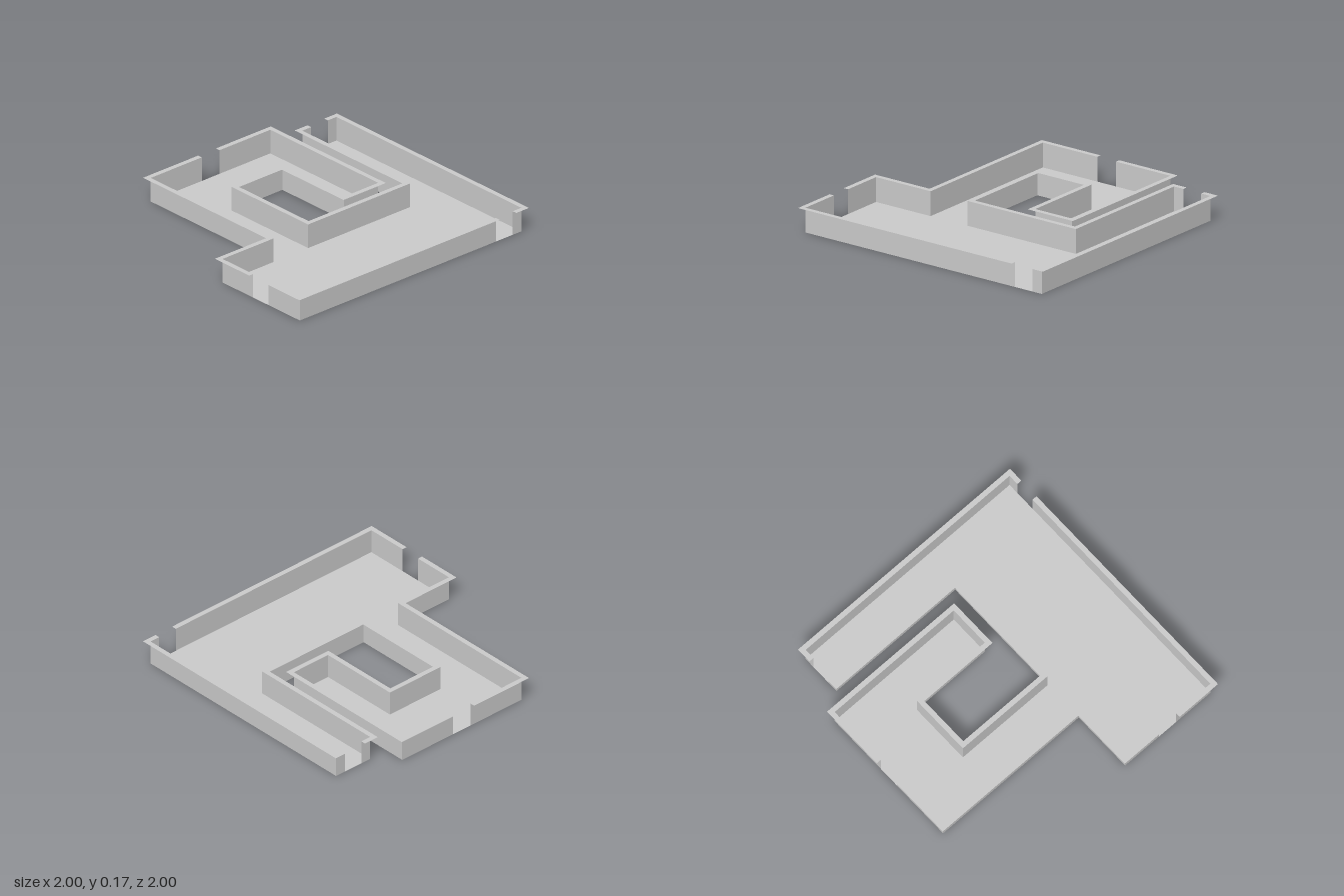
import * as THREE from 'three';

const HEIGHT = 0.17;
const LEDGE = 0.035;

// Floor outline (x, z), walked with the outside on the left of travel
const OUTLINE = [
  [-0.815, -0.965], [0.963, -0.965], [0.963, 0.963], [0.22, 0.963],
  [0.22, 0.518], [-0.963, 0.518], [-0.963, -0.523], [0.075, -0.523],
  [0.075, -0.225], [-0.518, -0.225], [-0.518, 0.218], [0.22, 0.218],
  [0.22, -0.668], [-0.815, -0.668],
].map(([x, z]) => new THREE.Vector2(x, z));

// Doorways: wall index -> the [from, to] gap along that wall's axis
const DOORS = {
  1: [-0.89, -0.745],
  2: [0.663, 0.515],
  5: [0.073, -0.08],
  13: [-0.745, -0.89],
};

export function createModel() {
  const model = new THREE.Group();
  const material = new THREE.MeshStandardMaterial({
    color: 0xcccccc, side: THREE.DoubleSide, flatShading: true,
  });

  const add = (name, geometry) => {
    const mesh = new THREE.Mesh(geometry, material);
    mesh.name = name;
    model.add(mesh);
  };

  // One flat four-cornered panel
  const addPanel = (name, a, b, c, d) => {
    const geometry = new THREE.BufferGeometry();
    geometry.setAttribute('position',
      new THREE.Float32BufferAttribute([a, b, c, d].flat(), 3));
    geometry.setIndex([0, 1, 2, 0, 2, 3]);
    geometry.computeVertexNormals();
    add(name, geometry);
  };

  // Floor
  const floor = new THREE.ShapeGeometry(
    new THREE.Shape(OUTLINE.map((p) => new THREE.Vector2(p.x, -p.y))));
  add('floor', floor.rotateX(-Math.PI / 2));

  const count = OUTLINE.length;
  const corner = (i) => OUTLINE[(i + count) % count];
  const outward = (i) => {
    const d = corner(i + 1).clone().sub(corner(i)).normalize();
    return new THREE.Vector2(d.y, -d.x);
  };
  // Mitred outer corner of the ledge
  const outer = (i) => corner(i).clone()
    .addScaledVector(outward(i - 1), LEDGE).addScaledVector(outward(i), LEDGE);
  const at = (p, y) => [p.x, y, p.y];

  // A stretch of thin wall with a ledge turned outward along its top
  const addWall = (p, q, pOut, qOut) => {
    addPanel('wall', at(q, 0), at(p, 0), at(p, HEIGHT), at(q, HEIGHT));
    addPanel('wallLedge', at(p, HEIGHT), at(q, HEIGHT), at(qOut, HEIGHT), at(pOut, HEIGHT));
  };

  // Walls, split where there is a doorway
  for (let i = 0; i < count; i++) {
    const p = corner(i), q = corner(i + 1);
    const pOut = outer(i), qOut = outer(i + 1);
    const door = DOORS[i];
    if (!door) {
      addWall(p, q, pOut, qOut);
      continue;
    }
    const [from, to] = door.map((v) => (p.x === q.x
      ? new THREE.Vector2(p.x, v) : new THREE.Vector2(v, p.y)));
    const push = (v) => v.clone().addScaledVector(outward(i), LEDGE);
    addWall(p, from, pOut, push(from));
    addWall(to, q, push(to), qOut);
  }

  return model;
}
